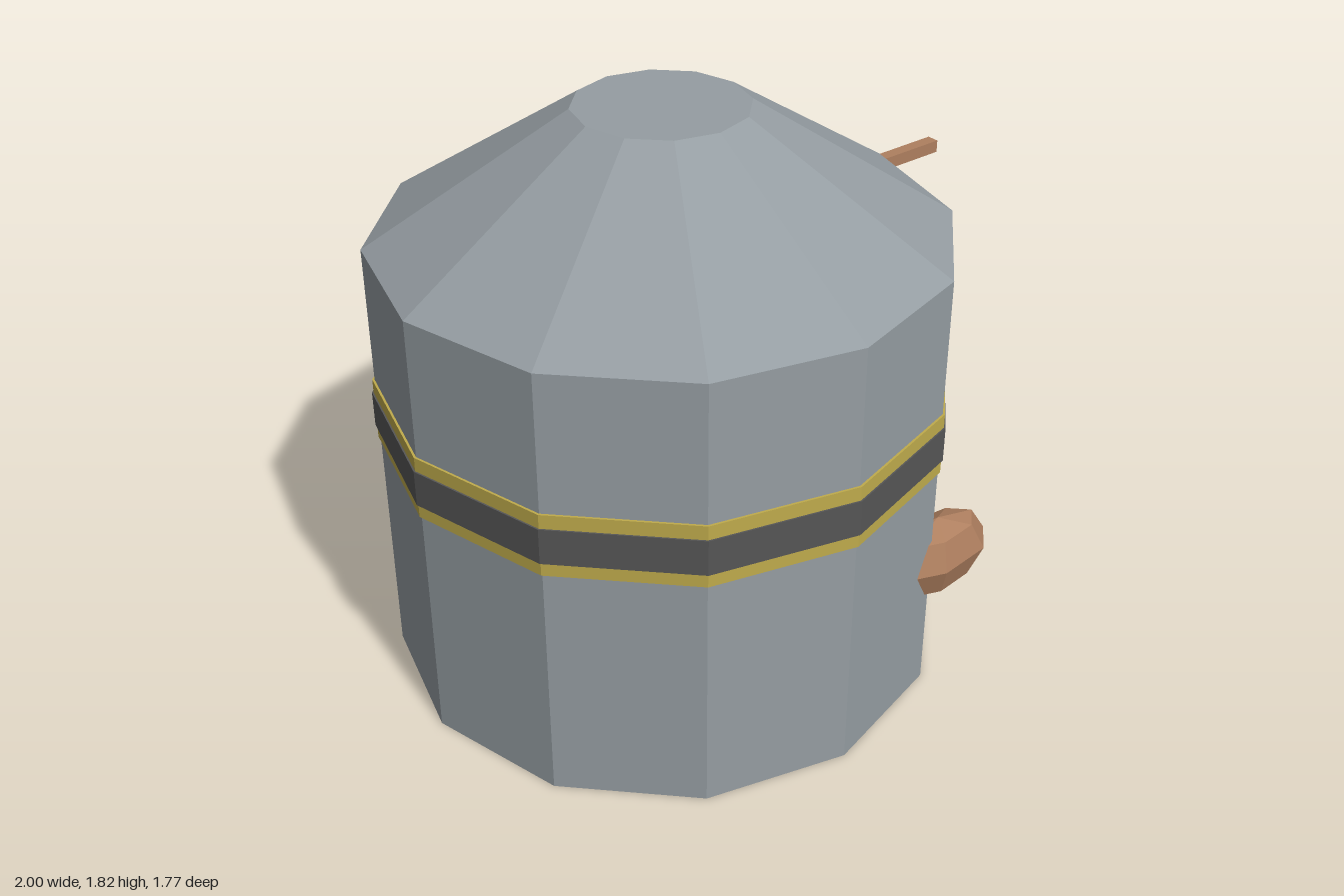
import * as THREE from 'three';

const SIDES = 12;
const CENTRE_X = -0.115;

function flat(name, color) {
  const m = new THREE.MeshStandardMaterial({ color, flatShading: true });
  m.name = name;
  return m;
}

export function createModel() {
  const model = new THREE.Group();
  model.name = 'storageTank';

  const steel = flat('steel grey', 0x959da2);
  const yellow = flat('stripe yellow', 0xbfab4c);
  const dark = flat('band charcoal', 0x565656);
  const brown = flat('rust brown', 0xae7f5f);

  function add(name, geometry, material, x, y, z) {
    const mesh = new THREE.Mesh(geometry, material);
    mesh.name = name;
    mesh.position.set(x, y, z);
    model.add(mesh);
    return mesh;
  }

  // Twelve-sided prism or frustum between two heights
  function drum(name, rTop, rBottom, y0, y1, material, open = false) {
    const g = new THREE.CylinderGeometry(rTop, rBottom, y1 - y0, SIDES, 1, open);
    return add(name, g, material, CENTRE_X, (y0 + y1) / 2, 0);
  }

  // Tank wall and truncated cone roof in one closed shell
  drum('tankBody', 0.873, 0.873, 0, 1.42, steel);
  drum('tankRoof', 0.262, 0.873, 1.42, 1.815, steel);

  // Painted band around the middle
  drum('yellowBand', 0.88, 0.88, 0.783, 0.985, yellow);
  drum('darkBand', 0.885, 0.885, 0.826, 0.94, dark);

  // Ladder rungs sticking out of the left side
  const rung = new THREE.BoxGeometry(0.26, 0.04, 0.04);
  for (let i = 0; i < 7; i++) {
    add('ladderRung', rung, brown, 0.87, 0.174 + i * 0.202, 0);
  }

  // Faceted knob half sunk into the front wall
  const knob = new THREE.SphereGeometry(1, 7, 4);
  knob.rotateY(Math.PI);
  knob.scale(0.216, 0.132, 0.102);
  add('knob', knob, brown, 0.39, 0.428, 0.71);

  return model;
}
